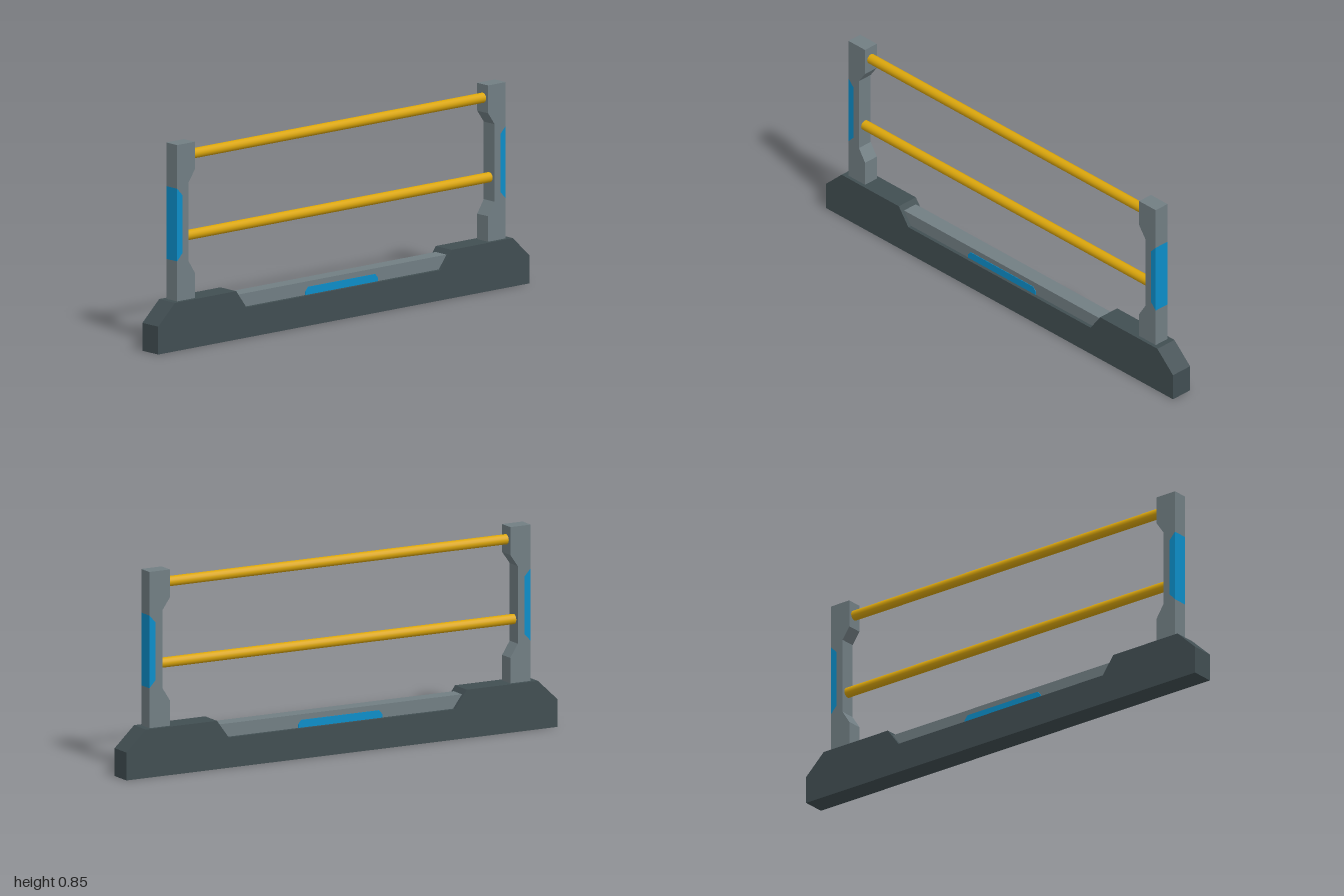
import * as THREE from 'three';

const material = (name, color) => {
  const m = new THREE.MeshStandardMaterial({ color });
  m.name = name;
  return m;
};

export function createModel() {
  const group = new THREE.Group();
  group.name = 'barrier';
  const dark = material('dark slate', 0x414e52);
  const grey = material('grey', 0x717e83);
  const blue = material('blue', 0x0c8dc8);
  const yellow = material('yellow', 0xdba60c);

  // Extrudes a front-view outline symmetrically about z = 0
  const slab = (name, points, depth, mat) => {
    const shape = new THREE.Shape(points.map(([x, y]) => new THREE.Vector2(x, y)));
    const geo = new THREE.ExtrudeGeometry(shape, { depth, bevelEnabled: false });
    geo.translate(0, 0, -depth / 2);
    const mesh = new THREE.Mesh(geo, mat);
    mesh.name = name;
    group.add(mesh);
  };
  // Completes a right-hand outline with its mirror image
  const mirrored = (half) => [...half, ...half.map(([x, y]) => [-x, y]).reverse()];

  // Base with chamfered ends and a recessed middle
  slab('base', mirrored([[1, 0], [1, 0.115], [0.91, 0.2], [0.58, 0.2], [0.525, 0.125]]), 0.096, dark);

  // Raised rail in the recess and its blue panel
  slab('baseInsert', mirrored([[0.57, 0.1], [0.57, 0.18]]), 0.066, grey);
  slab('basePanel', mirrored([[0.195, 0.115], [0.195, 0.14], [0.18, 0.157]]), 0.07, blue);

  // Posts, with the blue panel filling a notch in the outer edge
  const panel = [[0.885, 0.365], [0.885, 0.665], [0.857, 0.635], [0.857, 0.395]];
  const post = [
    [0.885, 0.19], [0.885, 0.365], [0.857, 0.395], [0.857, 0.635], [0.885, 0.665], [0.885, 0.845],
    [0.79, 0.845], [0.79, 0.73], [0.825, 0.68], [0.825, 0.36], [0.79, 0.305], [0.79, 0.19],
  ];
  for (const [side, s] of [['left', 1], ['right', -1]]) {
    slab(side + 'Post', post.map(([x, y]) => [s * x, y]), 0.066, grey);
    slab(side + 'PostPanel', panel.map(([x, y]) => [s * x, y]), 0.066, blue);
  }

  // Crossbars
  for (const [name, y, half] of [['upperBar', 0.789, 0.792], ['lowerBar', 0.456, 0.827]]) {
    const geo = new THREE.CylinderGeometry(0.021, 0.021, half * 2, 16);
    geo.rotateZ(Math.PI / 2);
    const bar = new THREE.Mesh(geo, yellow);
    bar.name = name;
    bar.position.y = y;
    group.add(bar);
  }
  return group;
}
